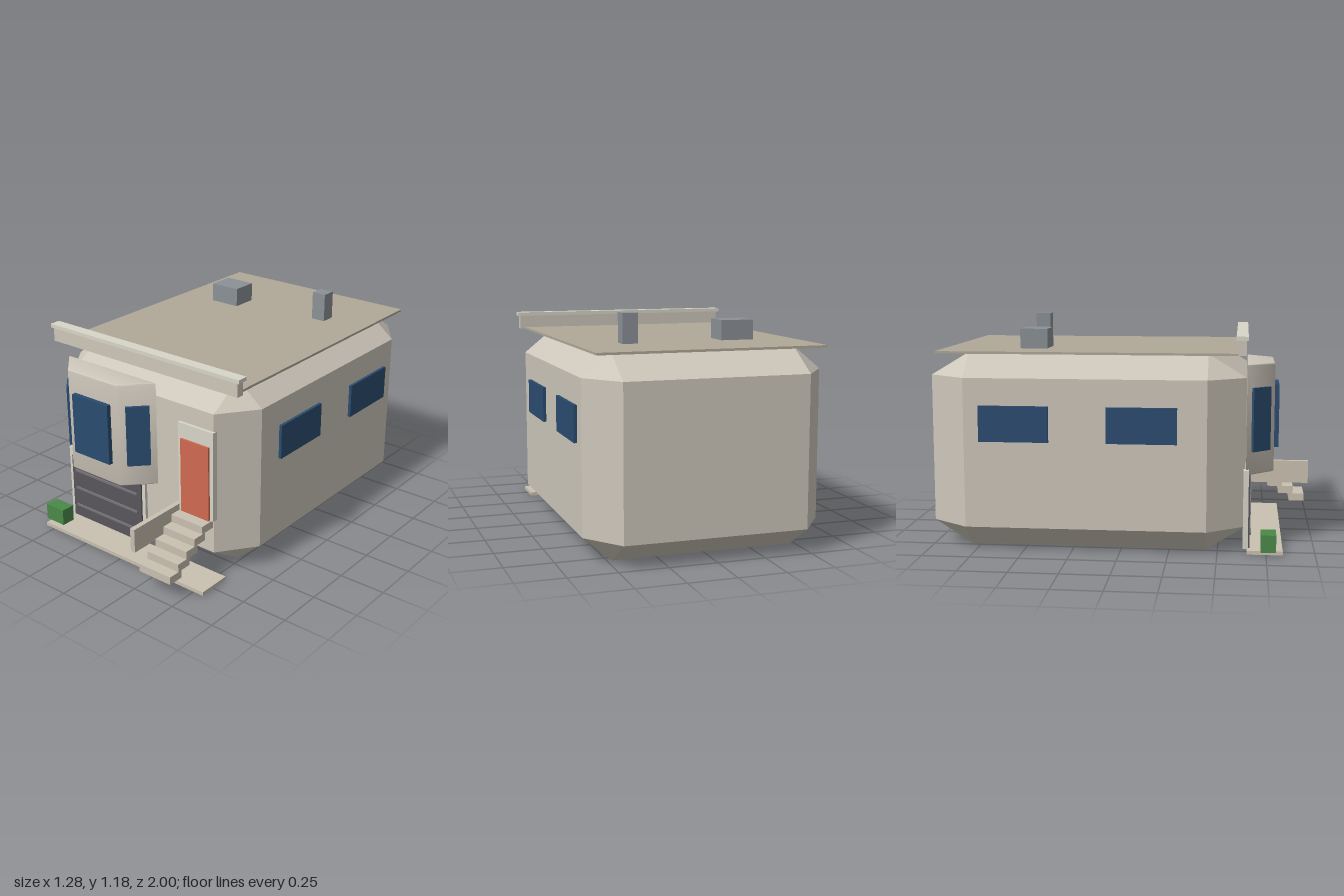
import * as THREE from 'three';
import { toCreasedNormals } from 'three/addons/utils/BufferGeometryUtils.js';
import { ConvexGeometry } from 'three/addons/geometries/ConvexGeometry.js';

const paint = (color, flatShading = true) => new THREE.MeshStandardMaterial({ color, flatShading });
const wall = paint(0xcdc6ba);
const roofing = paint(0xb0a898);
const trim = paint(0xd8d5c8);
const stone = paint(0xc9c0b0);
const glass = paint(0x2b4c70);
const slate = paint(0x58565c);
const ribGrey = paint(0x77757b);
const vent = paint(0x8b9197);
const red = paint(0xd06a52);
const green = paint(0x4a8a48);

export function createModel() {
  const house = new THREE.Group();
  house.name = 'house';

  function add(name, geometry, material, parent = house) {
    const mesh = new THREE.Mesh(geometry, material);
    mesh.name = name;
    parent.add(mesh);
    return mesh;
  }

  // Box given by its extents along each axis
  function block(name, material, [x0, x1], [y0, y1], [z0, z1], parent) {
    const mesh = add(name, new THREE.BoxGeometry(x1 - x0, y1 - y0, z1 - z0), material, parent);
    mesh.position.set((x0 + x1) / 2, (y0 + y1) / 2, (z0 + z1) / 2);
    return mesh;
  }

  // Main body: a box with every edge chamfered
  const points = [];
  for (const sx of [-1, 1]) {
    for (const [zOut, zIn] of [[0.64, 0.445], [-1, -0.8]]) {
      for (const [yOut, yIn] of [[0, 0.125], [1.02, 0.9]]) {
        points.push(
          new THREE.Vector3(sx * 0.475, yOut, zIn),
          new THREE.Vector3(sx * 0.475, yIn, zOut),
          new THREE.Vector3(sx * 0.622, yIn, zIn)
        );
      }
    }
  }
  add('body', new ConvexGeometry(points), wall);

  // Roof sheet, front parapet and roof vents
  block('roof', roofing, [-0.587, 0.587], [1.02, 1.032], [-0.95, 0.597]);
  block('parapet', wall, [-0.617, 0.617], [1.025, 1.1], [0.595, 0.637]);
  block('parapetCap', trim, [-0.63, 0.63], [1.1, 1.12], [0.585, 0.645]);
  block('wideVent', vent, [-0.365, -0.19], [1.03, 1.135], [-0.55, -0.405]);
  block('tallVent', vent, [0.27, 0.35], [1.03, 1.185], [-0.583, -0.502]);

  // Windows in both side walls
  for (const side of [-1, 1]) {
    const x = side < 0 ? [-0.638, -0.615] : [0.615, 0.638];
    block('sideWindow', glass, x, [0.575, 0.76], [-0.065, 0.295]);
    block('sideWindow', glass, x, [0.575, 0.76], [-0.72, -0.36]);
  }

  // Bay window: trapezoid plan with softened edges
  const bay = new THREE.Group();
  bay.name = 'bayWindow';
  bay.position.x = -0.2;
  house.add(bay);
  const plan = new THREE.Shape([
    new THREE.Vector2(-0.306, -0.642),
    new THREE.Vector2(-0.17, -0.785),
    new THREE.Vector2(0.17, -0.785),
    new THREE.Vector2(0.306, -0.642),
  ]);
  const bevel = 0.01;
  const bayGeometry = new THREE.ExtrudeGeometry(plan, {
    depth: 0.57 - 2 * bevel,
    bevelThickness: bevel,
    bevelSize: bevel,
    bevelOffset: -bevel,
    bevelSegments: 3,
  });
  bayGeometry.rotateX(-Math.PI / 2).translate(0, 0.4 + bevel, 0);
  add('bayShell', toCreasedNormals(bayGeometry, 0.9), paint(0xcdc6ba, false), bay);
  block('bayFrontPane', glass, [-0.124, 0.124], [0.52, 0.85], [0.78, 0.81], bay);
  for (const side of [-1, 1]) {
    const pane = add('baySidePane', new THREE.BoxGeometry(0.122, 0.33, 0.02), glass, bay);
    pane.position.set(side * 0.244, 0.685, 0.715);
    pane.rotation.y = side * 0.81;
  }

  // Garage door with its frame and ribs
  block('garageFrame', trim, [-0.53, 0.025], [0.02, 0.43], [0.63, 0.657]);
  block('garageDoor', slate, [-0.505, 0.003], [0.02, 0.387], [0.645, 0.665]);
  for (const y of [0.09, 0.198, 0.305]) {
    block('garageRib', ribGrey, [-0.48, -0.023], [y - 0.006, y + 0.006], [0.66, 0.672]);
  }

  // Entrance door
  block('doorFrame', trim, [0.26, 0.485], [0.315, 0.807], [0.62, 0.657]);
  block('door', red, [0.283, 0.463], [0.315, 0.725], [0.64, 0.668]);

  // Stair of overlapping treads, with a low wall beside it
  for (let i = 0; i < 5; i++) {
    const y = 0.103 + i * 0.0425;
    const front = 0.98 - i * 0.0625;
    block('step', stone, [0.27, 0.473], [y, y + 0.0425], [front - 0.085, front]);
  }
  block('stairWall', stone, [0.235, 0.263], [0.217, 0.345], [0.635, 1]);

  // Front pavement and planter
  block('pavement', stone, [-0.56, 0.56], [0, 0.02], [0.65, 0.835]);
  block('hedge', green, [-0.59, -0.463], [0.02, 0.11], [0.722, 0.8]);

  return house;
}
